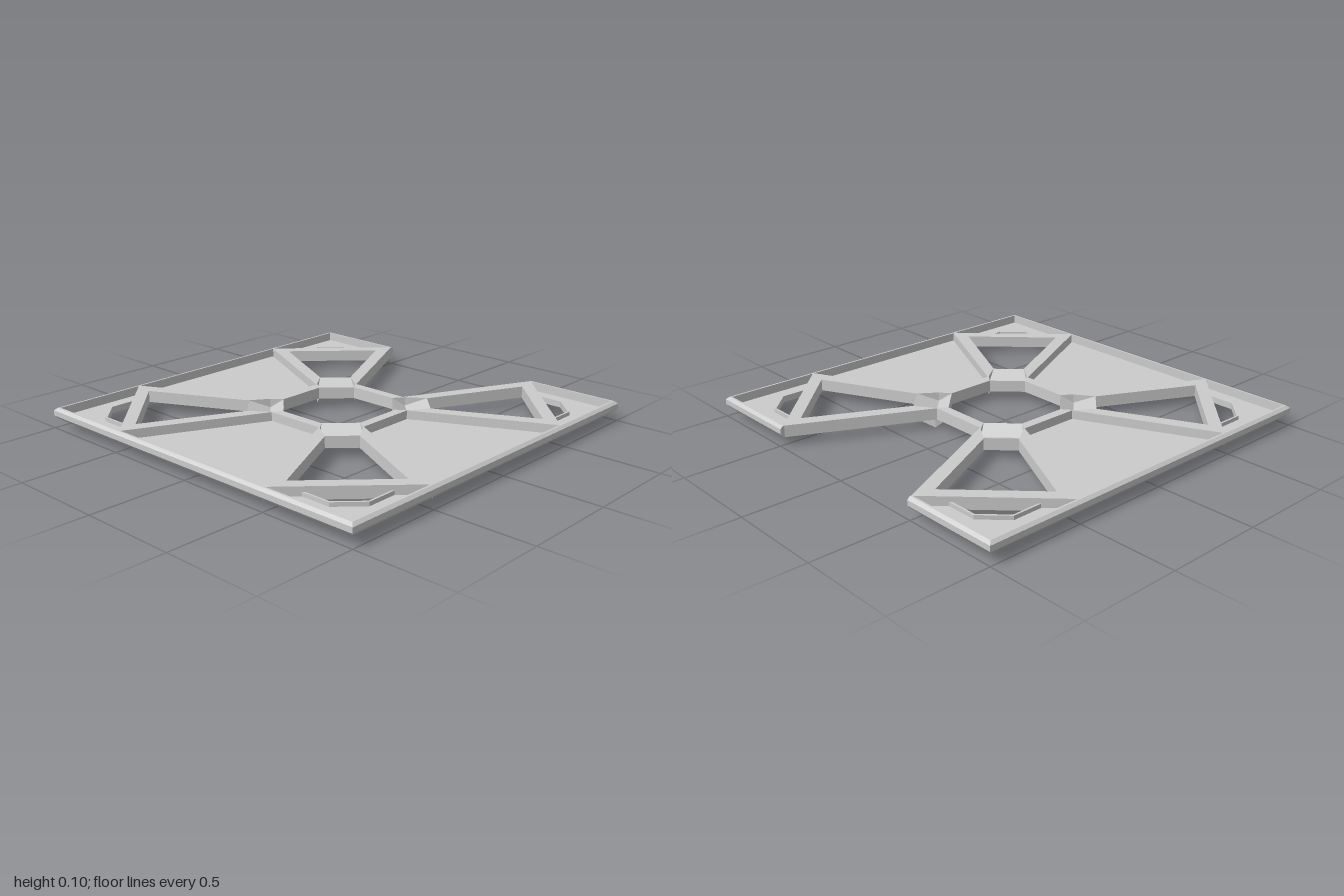
import * as THREE from 'three';

const BOTTOM = 0.045, TOP = 0.105;
const FLOOR_BOTTOM = 0.048, FLOOR_TOP = 0.06;

export function createModel() {
  const model = new THREE.Group();
  const material = new THREE.MeshStandardMaterial({ color: 0xcccccc, flatShading: true });

  const addMesh = (parent, name, geometry) => {
    const mesh = new THREE.Mesh(geometry, material);
    mesh.name = name;
    parent.add(mesh);
    return mesh;
  };

  // Upright prism over a plan outline of [x, z] points
  const prism = (points, y0, y1) => {
    const shape = new THREE.Shape(points.map(([x, z]) => new THREE.Vector2(x, -z)));
    const geometry = new THREE.ExtrudeGeometry(shape, { depth: y1 - y0, bevelEnabled: false });
    return geometry.rotateX(-Math.PI / 2).translate(0, y0, 0);
  };

  // Chamfered edge strip along x = 1, mitred where it ends at a corner (|z| = 1)
  const rimStrip = (z0, z1) => {
    const section = [[0.975, 0.048], [0.985, 0.048], [1, 0.065], [1, 0.092], [0.985, TOP], [0.975, TOP]];
    const shape = new THREE.Shape(section.map(([x, y]) => new THREE.Vector2(x, y)));
    const geometry = new THREE.ExtrudeGeometry(shape, { depth: 1, bevelEnabled: false });
    const p = geometry.attributes.position;
    for (let i = 0; i < p.count; i++) {
      const z = p.getZ(i) > 0.5 ? z1 : z0;
      p.setZ(i, Math.abs(z) === 1 ? z * p.getX(i) : z);
    }
    geometry.computeVertexNormals();
    return geometry;
  };

  // V-shaped trough: rows run from the octagon outward as [distance, half width, drop]
  const troughGeometry = () => {
    const rows = [[0.276, 0.092, 0], [0.343, 0.1025, BOTTOM], [0.4525, 0.085, 0]];
    const geometry = new THREE.BoxGeometry(1, 1, 1, 1, 1, 2);
    const p = geometry.attributes.position;
    for (let i = 0; i < p.count; i++) {
      const [distance, halfWidth, drop] = rows[Math.round(p.getZ(i) * 2 + 1)];
      const y = p.getY(i) > 0 ? TOP : BOTTOM;
      p.setXYZ(i, Math.sign(p.getX(i)) * halfWidth, y - drop, distance);
    }
    geometry.computeVertexNormals();
    return geometry;
  };

  // The last point follows the end of the trough's valley
  const spoke = [[0.26, 0.13], [0.31, 0.16], [0.985, 0.49], [0.97, 0.5], [0.87, 0.51],
    [0.38, 0.265], [0.314, 0.171]];
  const mirrorZ = (points) => points.map(([x, z]) => [x, -z]);

  // Four quarters turned about the centre; the first one, on +x, has no panel
  for (let k = 0; k < 4; k++) {
    const quarter = new THREE.Group();
    quarter.name = 'quarter';
    quarter.rotation.y = k * Math.PI / 2;
    model.add(quarter);

    // Frame around the octagonal opening and the corner windows
    addMesh(quarter, 'octagonRing', prism(
      [[0.26, -0.13], [0.31, -0.16], [0.31, 0.16], [0.26, 0.13]], BOTTOM, TOP));
    addMesh(quarter, 'spoke', prism(spoke, BOTTOM, TOP));
    addMesh(quarter, 'spoke', prism(mirrorZ(spoke), BOTTOM, TOP));
    addMesh(quarter, 'diagonalBeam', prism(
      [[0.51, 0.87], [0.87, 0.51], [0.975, 0.495], [0.495, 0.975]], BOTTOM, TOP));

    // Sunken corner plate, cut out next to the beam
    addMesh(quarter, 'cornerPlate', prism(
      [[0.98, 0.49], [0.98, 0.98], [0.49, 0.98], [0.61, 0.86], [0.75, 0.86],
        [0.86, 0.75], [0.86, 0.61]], FLOOR_BOTTOM, FLOOR_TOP));

    // Low collar around the cut-out
    addMesh(quarter, 'cutoutCollar', prism(
      [[0.61, 0.86], [0.75, 0.86], [0.86, 0.75], [0.86, 0.61], [0.87, 0.6],
        [0.87, 0.755], [0.755, 0.87], [0.6, 0.87]], FLOOR_BOTTOM, 0.08));

    const trough = addMesh(quarter, 'trough', troughGeometry());
    trough.rotation.y = Math.PI / 4;

    if (k === 0) {
      // Open side: edge strips only beside the corners
      addMesh(quarter, 'rim', rimStrip(0.487, 1));
      addMesh(quarter, 'rim', rimStrip(-1, -0.487));
    } else {
      addMesh(quarter, 'rim', rimStrip(-1, 1));
      addMesh(quarter, 'floorPanel', prism(
        [[0.3, -0.155], [0.3, 0.155], [0.98, 0.485], [0.98, -0.485]], FLOOR_BOTTOM, FLOOR_TOP));
    }
  }
  return model;
}
